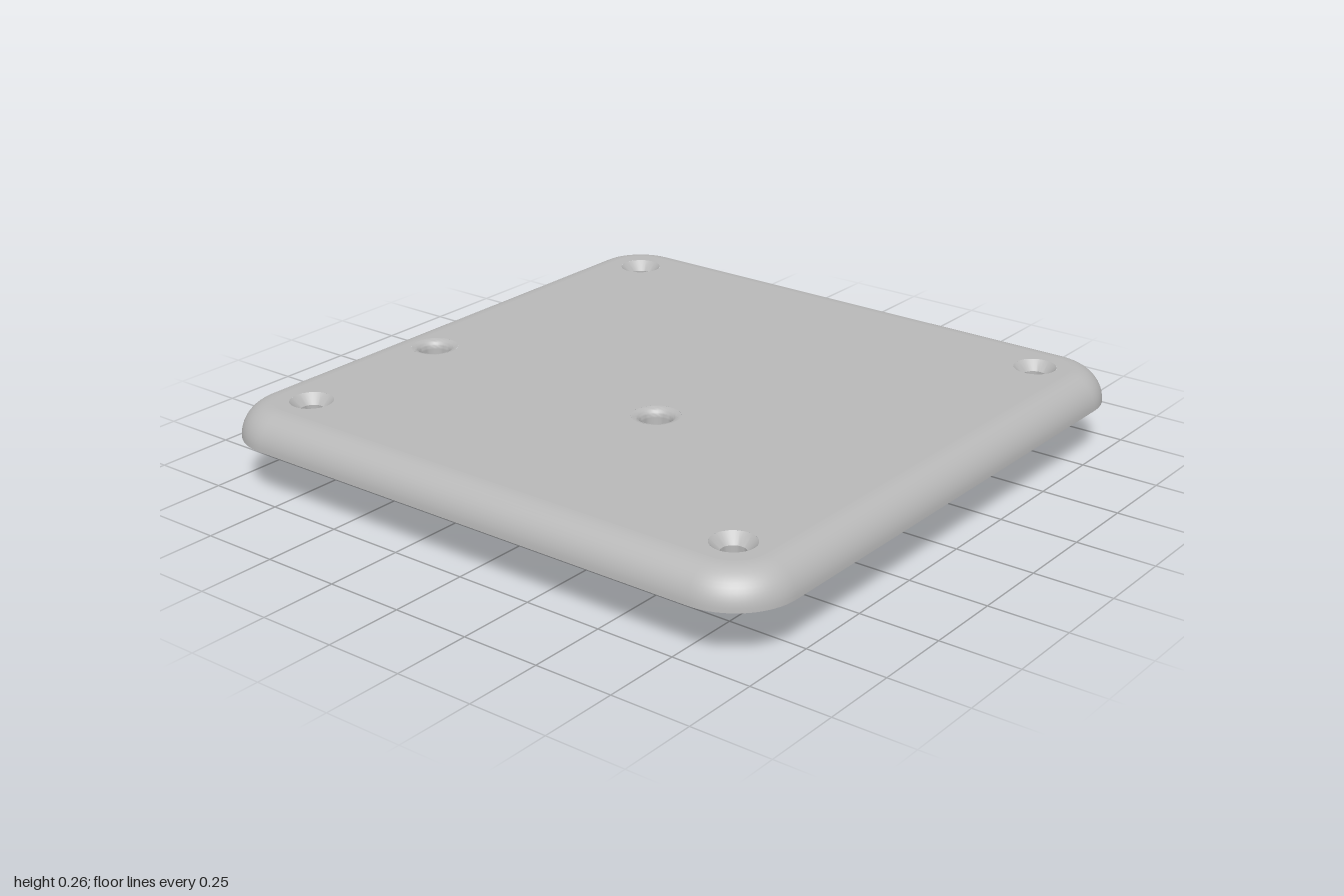
import * as THREE from 'three';
import { toCreasedNormals } from 'three/addons/utils/BufferGeometryUtils.js';

const TOP = 0.265, BASE = 0.165, FLOOR = 0.195; // top face, rim underside, groove floor
const ROUND = 0.1, CORNER = 0.2, RIM = 0.035;
const SCREW = 0.79, PANEL = 0.89, BITE = 0.125;
const BORE = 0.047, MOUTH = 0.075, POST = 0.075, POST_SEGS = 32;
const posts = [[-0.23, -0.815], [-0.245, 0.1]];
const screws = [[1, 1], [-1, 1], [-1, -1], [1, -1]].map(([x, z]) => [x * SCREW, z * SCREW]);

// Build a loop from one corner's points, turned through four quarter turns
function fourCorners(corner) {
  const loop = [];
  for (let k = 0; k < 4; k++) {
    for (const p of corner) loop.push(p.clone().rotateAround(new THREE.Vector2(), k * Math.PI / 2));
  }
  return loop;
}

function arc(c, r, from, to, n) {
  return Array.from({ length: n + 1 }, (_, i) => {
    const a = from + (to - from) * i / n;
    return new THREE.Vector2(c + r * Math.cos(a), c + r * Math.sin(a));
  });
}

// Rounded square, inset from the plate's outer edge
const roundedSquare = (inset) => fourCorners(arc(1 - CORNER, CORNER - inset, 0, Math.PI / 2, 16));

// Square panel whose corners are cut away by a circle round each screw
function panelLoop() {
  const a = Math.acos((PANEL - SCREW) / BITE);
  return fourCorners(arc(SCREW, BITE, -a, a - 1.5 * Math.PI, 24));
}

// Skin over a stack of loops, each { points, y }
function loft(rings, inward = false) {
  const n = rings[0].points.length, pos = [], index = [];
  for (const { points, y } of rings) for (const p of points) pos.push(p.x, y, p.y);
  for (let j = 0; j < rings.length - 1; j++) {
    for (let i = 0; i < n; i++) {
      const a = j * n + i, b = j * n + (i + 1) % n, c = a + n, d = b + n;
      if (inward) index.push(a, b, c, b, d, c);
      else index.push(a, c, b, b, c, d);
    }
  }
  const geo = new THREE.BufferGeometry();
  geo.setAttribute('position', new THREE.Float32BufferAttribute(pos, 3));
  geo.setIndex(index);
  return toCreasedNormals(geo, 0.6);
}

// Flat horizontal face with holes, facing up or down
function sheet(points, y, up, holeLoops, circles) {
  const flip = up ? -1 : 1;
  const shape = new THREE.Shape(points);
  for (const loop of holeLoops) shape.holes.push(new THREE.Path(loop));
  for (const [x, z, r] of circles) {
    shape.holes.push(new THREE.Path().absarc(x, flip * z, r, 0, Math.PI * 2, false));
  }
  const geo = new THREE.ShapeGeometry(shape, POST_SEGS);
  geo.rotateX(flip * Math.PI / 2);
  return geo.translate(0, y, 0);
}

function lathe(profile) {
  const pts = profile.map(([r, y]) => new THREE.Vector2(r, y));
  return toCreasedNormals(new THREE.LatheGeometry(pts, POST_SEGS), 0.6);
}

export function createModel() {
  const group = new THREE.Group();
  const grey = new THREE.MeshStandardMaterial({ color: 0xb8b8b8 });
  grey.name = 'grey';
  const add = (name, geo, x = 0, z = 0) => {
    const mesh = new THREE.Mesh(geo, grey);
    mesh.name = name;
    mesh.position.set(x, 0, z);
    group.add(mesh);
  };
  const circles = (list, r) => list.map(([x, z]) => [x, z, r]);

  // Rounded outer edge and top face
  const rings = Array.from({ length: 13 }, (_, i) => {
    const t = i / 12 * Math.PI / 2;
    return { points: roundedSquare(ROUND * (1 - Math.cos(t))), y: BASE + ROUND * Math.sin(t) };
  });
  add('roundedEdge', loft(rings));
  add('topFace', sheet(roundedSquare(ROUND), TOP, true, [],
    [...circles(screws, 0.067), ...circles(posts, MOUTH)]));

  // Underside: thin rim, groove and raised centre panel
  const inner = roundedSquare(RIM), panel = panelLoop();
  add('rim', sheet(roundedSquare(0), BASE, false, [inner], []));
  add('rimInnerWall', loft([{ points: inner, y: BASE }, { points: inner, y: FLOOR }], true));
  add('grooveFloor', sheet(inner, FLOOR, false, [panel], circles(screws, 0.037)));
  add('panelWall', loft([{ points: panel, y: BASE }, { points: panel, y: FLOOR }]));
  add('centrePanel', sheet(panel, BASE, false, [], circles(posts, POST)));

  // Countersunk screw holes
  const screwHole = lathe([[0.067, TOP], [0.037, 0.235], [0.037, FLOOR]]);
  for (const [x, z] of screws) add('screwHole', screwHole, x, z);

  // Hollow posts with a rounded mouth in the top face
  const profile = [], f = MOUTH - BORE;
  for (let i = 0; i <= 8; i++) {
    const t = i / 8 * Math.PI / 2;
    profile.push([MOUTH - f * Math.sin(t), TOP - f * (1 - Math.cos(t))]);
  }
  profile.push([BORE, 0], [POST, 0], [POST, BASE]);
  const post = lathe(profile);
  for (const [x, z] of posts) add('hollowPost', post, x, z);

  return group;
}
